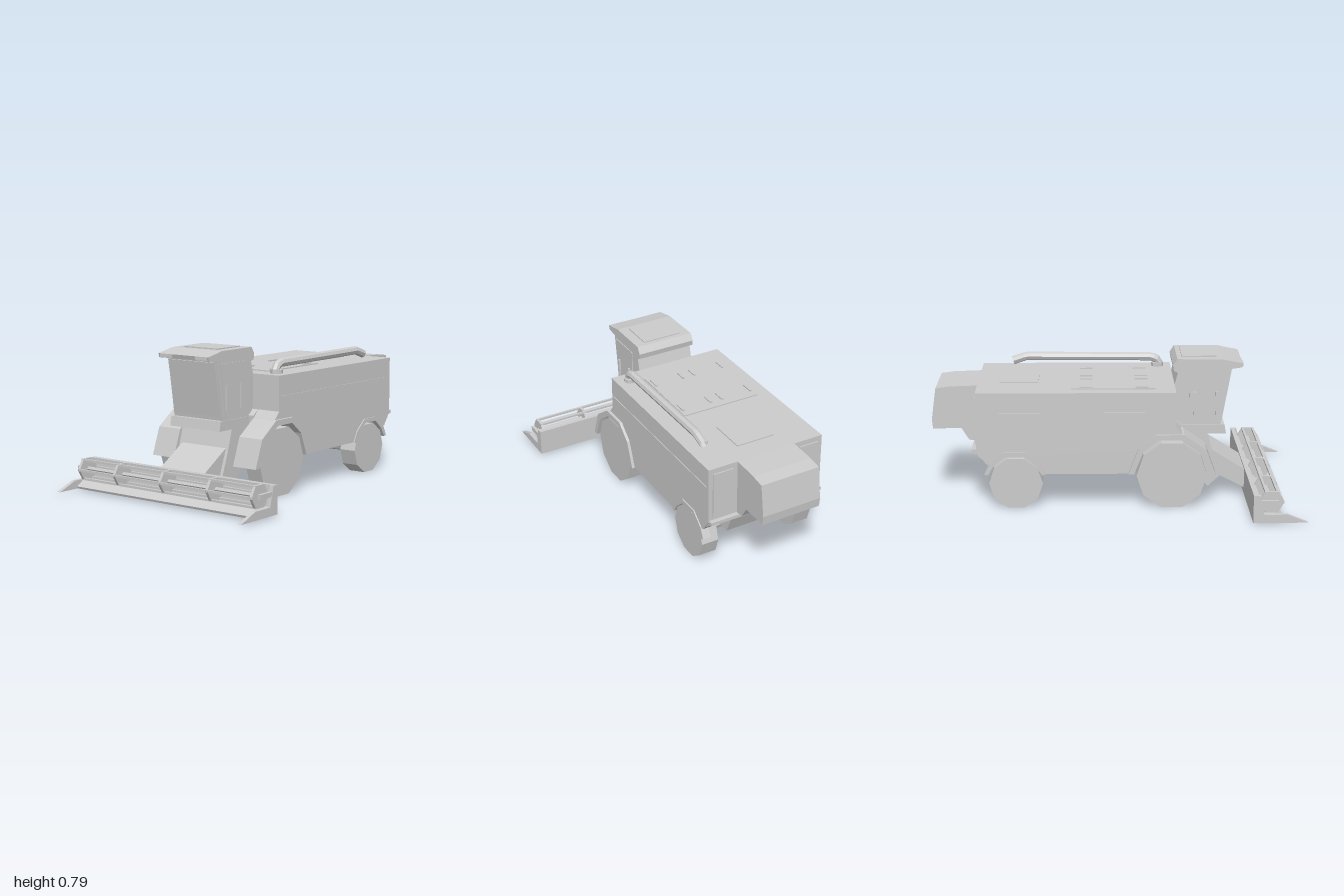
import * as THREE from 'three';

const material = new THREE.MeshStandardMaterial({ color: 0xcccccc, flatShading: true });

export function createModel() {
  const root = new THREE.Group();

  const add = (name, geometry, parent = root) => {
    const mesh = new THREE.Mesh(geometry, material);
    mesh.name = name;
    parent.add(mesh);
    return mesh;
  };
  // Side profile of [z, y] points, extruded across from x0 to x1
  const profile = (name, points, x0, x1, parent) => {
    const shape = new THREE.Shape(points.map(([z, y]) => new THREE.Vector2(z, y)));
    const g = new THREE.ExtrudeGeometry(shape, { depth: x1 - x0, bevelEnabled: false });
    g.rotateY(-Math.PI / 2).translate(x1, 0, 0);
    return add(name, g, parent);
  };
  const box = (name, x0, x1, y0, y1, z0, z1, parent) => add(name,
    new THREE.BoxGeometry(x1 - x0, y1 - y0, z1 - z0)
      .translate((x0 + x1) / 2, (y0 + y1) / 2, (z0 + z1) / 2), parent);
  // Cylinder lying along x; start turns the polygon
  const drum = (name, r, x0, x1, y, z, sides, start = 0, parent = root) => add(name,
    new THREE.CylinderGeometry(r, r, x1 - x0, sides, 1, false, start)
      .rotateZ(Math.PI / 2).translate((x0 + x1) / 2, y, z), parent);
  // Mirrored pair of profiles
  const profilePair = (name, points, x0, x1) => {
    profile(name + 'Left', points, x0, x1);
    profile(name + 'Right', points, -x1, -x0);
  };
  const boxPair = (name, x0, x1, ...rest) => {
    box(name + 'Left', x0, x1, ...rest);
    box(name + 'Right', -x1, -x0, ...rest);
  };

  // Main body: narrow core between the wheels and side bodies with wheel arches
  profile('bodyCore', [[0.32, 0.64], [-0.75, 0.64], [-0.75, 0.3], [-0.70, 0.19],
    [0.3, 0.19], [0.36, 0.25], [0.36, 0.42], [0.32, 0.45]], -0.2, 0.2);
  const frontArch = [[0.07, 0.19], [0.12, 0.32], [0.22, 0.385], [0.36, 0.385]];
  const rearArch = [[-0.70, 0.25], [-0.67, 0.24], [-0.60, 0.295], [-0.485, 0.295], [-0.41, 0.24], [-0.385, 0.19]];
  profilePair('sideBody', [[0.32, 0.64], [-0.75, 0.64], [-0.75, 0.32], ...rearArch,
    ...frontArch, [0.355, 0.41], [0.32, 0.45]], 0.2, 0.34);
  boxPair('sideTrim', 0.338, 0.344, 0.525, 0.532, -0.73, 0.3);
  boxPair('rearDoor', 0.2, 0.315, 0.35, 0.61, -0.757, -0.745);

  // Straw hood and rear bumper
  profile('strawHood', [[-0.7, 0.64], [-0.75, 0.64], [-0.9, 0.635], [-0.975, 0.625], [-1, 0.45],
    [-0.995, 0.4], [-0.84, 0.4], [-0.8, 0.335], [-0.7, 0.32]], -0.17, 0.17);
  profile('rearBumper', [[-0.7, 0.33], [-0.775, 0.33], [-0.775, 0.312], [-0.745, 0.305],
    [-0.74, 0.29], [-0.71, 0.265], [-0.7, 0.25]], -0.335, 0.335);

  // Grain tank lid, service hatch and small handles
  box('tankLid', -0.265, 0.19, 0.635, 0.646, -0.24, 0.215);
  box('serviceHatch', -0.12, 0.1, 0.635, 0.646, -0.63, -0.42);
  for (const x of [-0.25, -0.07, 0, 0.17])
    for (const z of [-0.16, 0.14])
      box('lidHandle', x - 0.006, x + 0.006, 0.644, 0.653, z - 0.035, z + 0.035);

  // Unloading pipe along the roof
  const pipePath = new THREE.CurvePath();
  const bends = [[0.64, 0.255], [0.675, 0.25], [0.694, 0.215], [0.7, -0.5], [0.69, -0.53], [0.675, -0.575]]
    .map(([y, z]) => new THREE.Vector3(0.265, y, z));
  bends.slice(1).forEach((p, i) => pipePath.add(new THREE.LineCurve3(bends[i], p)));
  add('unloadingPipe', new THREE.TubeGeometry(pipePath, 40, 0.024, 8, false)).material =
    Object.assign(material.clone(), { side: THREE.DoubleSide });
  add('pipeBase', new THREE.CylinderGeometry(0.034, 0.034, 0.025, 8).translate(0.265, 0.648, 0.245));

  // Wheels and fenders
  const wheel = (name, r, z, x0, x1) => {
    const y = r * Math.cos(Math.PI / 10);
    for (const s of [-1, 1]) {
      const group = new THREE.Group();
      group.name = name + (s > 0 ? 'Left' : 'Right');
      root.add(group);
      drum('tyre', r, Math.min(s * x0, s * x1), Math.max(s * x0, s * x1), y, z, 10, 0, group);
    }
    drum(name + 'Axle', 0.035, -x0, x0, y, z, 8);
  };
  wheel('frontWheel', 0.19, 0.3, 0.25, 0.345);
  wheel('rearWheel', 0.145, -0.54, 0.24, 0.338);
  profilePair('frontFender', [[0.54, 0.175], [0.485, 0.325], [0.365, 0.41], [0.21, 0.41], [0.12, 0.335],
    [0.065, 0.19], [0.095, 0.19], [0.145, 0.315], [0.225, 0.38], [0.35, 0.38], [0.46, 0.3], [0.51, 0.175]],
  0.205, 0.356);
  profilePair('rearFender', [[-0.38, 0.19], [-0.41, 0.25], [-0.485, 0.312], [-0.605, 0.312], [-0.68, 0.25],
    [-0.71, 0.19], [-0.69, 0.185], [-0.66, 0.235], [-0.597, 0.288], [-0.492, 0.288], [-0.43, 0.235], [-0.4, 0.185]],
  0.3, 0.346);

  // Cab with glass, roof and floor
  profile('cab', [[0.62, 0.73], [0.34, 0.73], [0.335, 0.7], [0.32, 0.64], [0.32, 0.46], [0.36, 0.4],
    [0.572, 0.4]], -0.166, 0.166);
  profile('windscreen', [[0.63, 0.722], [0.61, 0.722], [0.555, 0.435], [0.58, 0.435]], -0.158, 0.158);
  profilePair('cabDoor', [[0.595, 0.715], [0.4, 0.715], [0.4, 0.42], [0.55, 0.42]], 0.16, 0.171);
  profile('cabFloor', [[0.595, 0.415], [0.605, 0.363], [0.3, 0.363], [0.3, 0.415]], -0.17, 0.17);
  profile('roof', [[0.69, 0.757], [0.683, 0.735], [0.635, 0.728], [0.345, 0.705], [0.315, 0.715],
    [0.31, 0.745], [0.333, 0.782], [0.58, 0.78], [0.625, 0.77]], -0.172, 0.167);
  box('roofHatch', -0.115, 0.11, 0.775, 0.787, 0.36, 0.55);
  boxPair('roofLamp', 0.08, 0.158, 0.738, 0.757, 0.665, 0.692);
  for (const z of [0.43, 0.55]) boxPair('grabRail', 0.168, 0.182, 0.47, 0.6, z - 0.007, z + 0.007);

  // Feeder house sloping down to the header
  profile('feederHouse', [[0.5, 0.37], [0.535, 0.25], [0.58, 0.125], [0.51, 0.06], [0.34, 0.22], [0.34, 0.37]],
    -0.168, 0.168);
  profile('feederThroat', [[0.53, 0.265], [0.72, 0.145], [0.72, 0.04], [0.56, 0.125], [0.5, 0.18]], -0.15, 0.15);

  // Header trough with end plates and pointed dividers
  const header = new THREE.Group();
  header.name = 'header';
  root.add(header);
  profile('trough', [[0.712, 0.01], [0.87, 0.01], [0.875, 0.022], [0.83, 0.05], [0.745, 0.052],
    [0.735, 0.16], [0.712, 0.16]], -0.61, 0.61, header);
  for (const x of [-0.616, 0.616]) {
    profile('endPlate', [[0.712, 0.01], [1, 0.01], [0.89, 0.055], [0.77, 0.055], [0.745, 0.16],
      [0.712, 0.16]], x - 0.011, x + 0.011, header);
    box('reelArm', x - 0.009, x + 0.009, 0.105, 0.13, 0.72, 0.845, header);
  }

  // Hexagonal reel: shaft, six bats and five spiders
  const reel = new THREE.Group();
  reel.name = 'reel';
  root.add(reel);
  const reelY = 0.113, reelZ = 0.81;
  drum('reelShaft', 0.012, -0.61, 0.61, reelY, reelZ, 6, 0, reel);
  for (let i = 0; i < 6; i++) {
    const a = (i * Math.PI) / 3;
    const y = reelY + 0.06 * Math.sin(a), z = reelZ + 0.06 * Math.cos(a);
    box('bat', -0.595, 0.595, y - 0.006, y + 0.006, z - 0.006, z + 0.006, reel);
  }
  for (const x of [-0.587, -0.33, -0.01, 0.305, 0.587])
    drum('spider', 0.067, x - 0.008, x + 0.008, reelY, reelZ, 6, 0, reel);

  return root;
}
